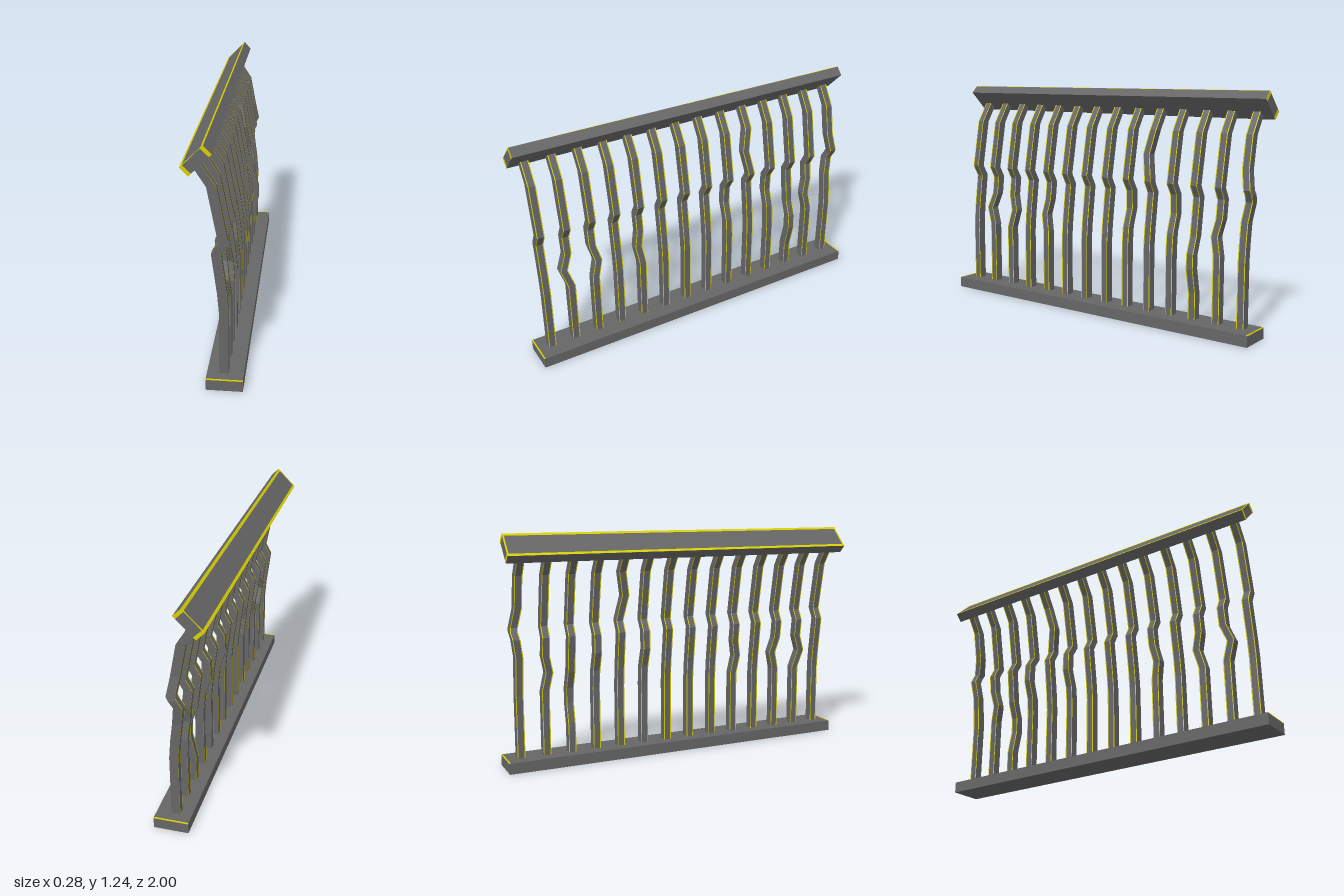
import * as THREE from 'three';

const grey = new THREE.MeshStandardMaterial({ color: 0x666666, flatShading: true });
const yellow = new THREE.MeshStandardMaterial({ color: 0xd8d000, flatShading: true });

function box(name, size, pos, material) {
  const mesh = new THREE.Mesh(new THREE.BoxGeometry(...size), material);
  mesh.name = name;
  mesh.position.set(...pos);
  return mesh;
}

// Skin some sides of a bar whose rectangular section follows a path of [y, x, z].
// Points run round the section, with narrow trim bands at the edges of the x faces.
const HX = 0.0225, HZ = 0.021, TRIM = 0.005;
const SECTION = [
  [HX, HZ], [HX, HZ - TRIM], [HX, TRIM - HZ], [HX, -HZ],
  [-HX, -HZ], [-HX, TRIM - HZ], [-HX, HZ - TRIM], [-HX, HZ],
];
function skin(name, path, sides, material) {
  const verts = [];
  const point = (i, k) => {
    const [y, x, z] = path[i], [px, pz] = SECTION[k % 8];
    return [x + px, y, z + pz];
  };
  for (let i = 0; i < path.length - 1; i++) {
    for (const k of sides) {
      const a = point(i, k), b = point(i, k + 1), c = point(i + 1, k + 1), d = point(i + 1, k);
      verts.push(...a, ...b, ...c, ...a, ...c, ...d);
    }
  }
  const geo = new THREE.BufferGeometry();
  geo.setAttribute('position', new THREE.Float32BufferAttribute(verts, 3));
  geo.computeVertexNormals();
  const mesh = new THREE.Mesh(geo, material);
  mesh.name = name;
  return mesh;
}

// Common bar line as [height, x]
const LINE = [[0.05, 0.0425], [0.4, 0.0425], [0.5, 0.034], [0.7, 0.008],
  [0.76, 0.041], [1.03, -0.01], [1.14, -0.08]];
// Alternative lines for dented bars
const DENT_BACK = [...LINE.slice(0, 3), [0.6, 0.0], [0.7, 0.003], ...LINE.slice(4)];
const DENT_FRONT = [[0.05, 0.0425], [0.2, 0.0425], [0.33, 0.07], [0.41, 0.067], ...LINE.slice(2)];
const LINES = { 1: null, 8: DENT_BACK, 10: DENT_BACK, 11: DENT_FRONT };
// Sideways kinks by bar number: [start, peak, end, shift in z]
const KINKS = {
  1: [0.41, 0.51, 0.6, 0.033], 2: [0.41, 0.51, 0.6, -0.025], 4: [0.41, 0.51, 0.6, 0.018],
  9: [0.77, 0.9, 1.03, 0.025], 12: [0.41, 0.51, 0.6, 0.02], 13: [0.6, 0.74, 0.86, -0.022],
};

function xAt(line, y) {
  const i = Math.max(1, line.findIndex((p) => p[0] >= y));
  const [y0, x0] = line[i - 1], [y1, x1] = line[i];
  return x0 + (x1 - x0) * (y - y0) / (y1 - y0);
}

function barPath(index, z) {
  const line = LINES[index] || LINE, kink = KINKS[index];
  const heights = new Set(line.map((p) => p[0]));
  if (kink) kink.slice(0, 3).forEach((h) => heights.add(h));
  return [...heights].sort((a, b) => a - b).map((y) => {
    let shift = 0;
    if (kink) {
      const [s, p, e, d] = kink;
      if (y > s && y < e) shift = d * (y <= p ? (y - s) / (p - s) : (e - y) / (e - p));
    }
    return [y, xAt(line, y), z + shift];
  });
}

export function createModel() {
  const model = new THREE.Group();
  model.name = 'railing';

  // Base plinth with trim at its end edges
  model.add(box('base', [0.18, 0.06, 1.994], [0.05, 0.03, 0], grey));
  for (const s of [-1, 1]) {
    model.add(box('baseTrim', [0.18, 0.004, 0.007], [0.05, 0.0585, s * 0.994], yellow));
  }

  // Row of bent bars
  for (let i = 0; i < 14; i++) {
    const path = barPath(i, (6.5 - i) * 0.1412);
    const bar = new THREE.Group();
    bar.name = 'bar';
    bar.add(skin('barBody', path, [1, 3, 5, 7], grey));
    bar.add(skin('barTrim', path, [0, 2, 4, 6], yellow));
    model.add(bar);
  }

  // Tilted handrail with trim round its upper face and on its ends
  const rail = new THREE.Group();
  rail.name = 'handrail';
  rail.position.set(-0.069, 1.172, 0);
  rail.rotation.z = Math.PI / 4;
  rail.add(box('railBody', [0.148, 0.055, 1.992], [0, 0, 0], grey));
  for (const s of [-1, 1]) {
    rail.add(box('railLongTrim', [0.015, 0.002, 1.992], [s * 0.0665, 0.0275, 0], yellow));
    rail.add(box('railCrossTrim', [0.148, 0.002, 0.008], [0, 0.0275, s * 0.992], yellow));
    for (const t of [-1, 1]) {
      rail.add(box('railEndTrim', [0.018, 0.055, 0.002], [t * 0.065, 0, s * 0.996], yellow));
    }
  }
  model.add(rail);
  return model;
}
